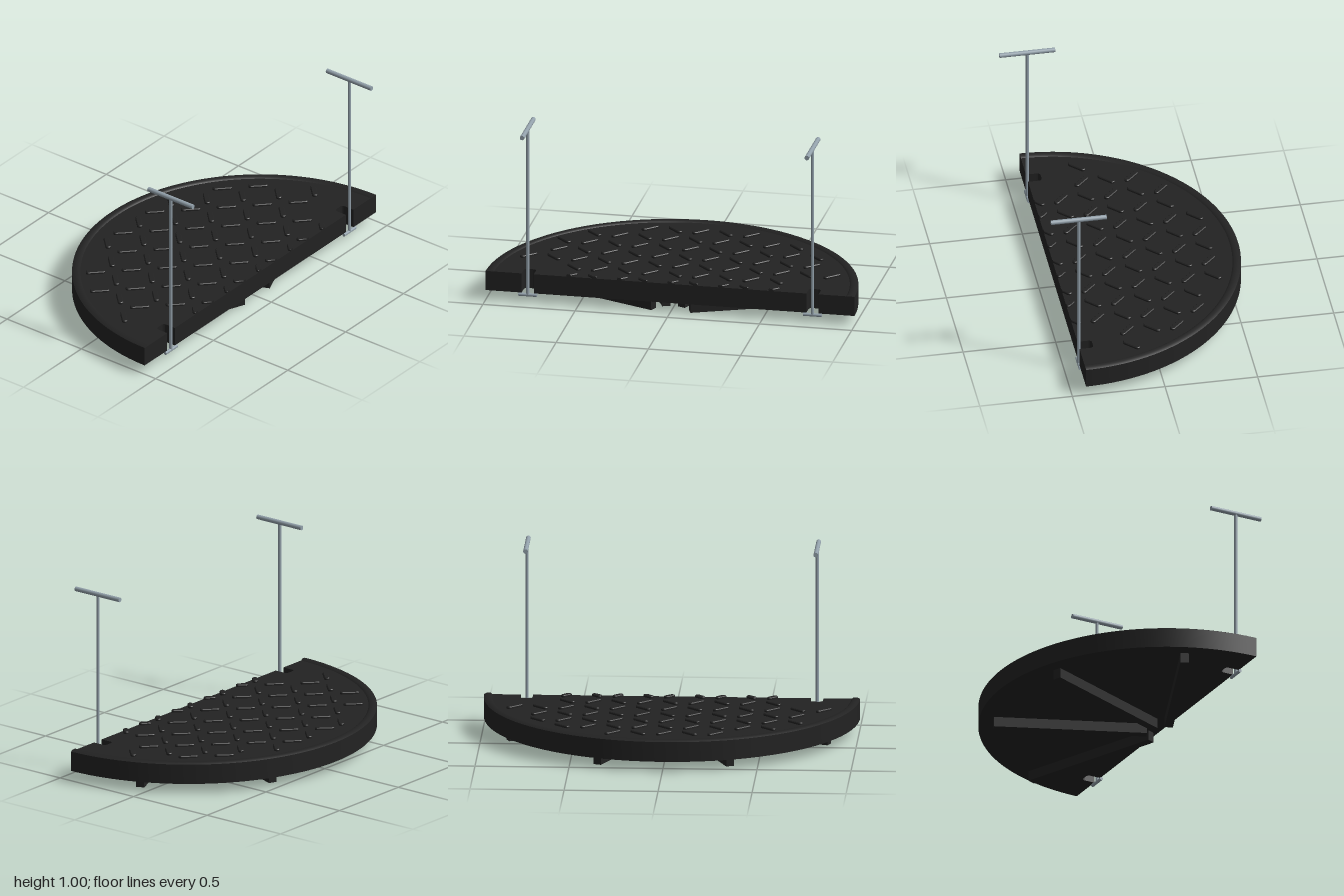
import * as THREE from 'three';
import { toCreasedNormals } from 'three/addons/utils/BufferGeometryUtils.js';

const EDGE = 0.426;   // x of the straight edge
const DECK = 0.163;   // height of the deck surface
const PIN_Z = 0.772;

const rubber = new THREE.MeshStandardMaterial({ name: 'black rubber', color: 0x222222, side: THREE.DoubleSide });
const steel = new THREE.MeshStandardMaterial({ name: 'grey steel', color: 0x93a1ab });

function add(parent, name, geometry, material) {
  const mesh = new THREE.Mesh(geometry, material);
  mesh.name = name;
  parent.add(mesh);
  return mesh;
}

// Half disc with two rounded slots cut into its straight edge
function plateGeometry() {
  const s = new THREE.Shape();
  const w = 0.033, inner = 0.35, r = 0.02;
  s.moveTo(EDGE, -1);
  for (const c of [-PIN_Z, PIN_Z]) {
    s.lineTo(EDGE, c - w);
    s.lineTo(inner + r, c - w);
    s.quadraticCurveTo(inner, c - w, inner, c - w + r);
    s.lineTo(inner, c + w - r);
    s.quadraticCurveTo(inner, c + w, inner + r, c + w);
    s.lineTo(EDGE, c + w);
  }
  s.lineTo(EDGE, 1);
  s.absarc(EDGE, 0, 1, Math.PI / 2, Math.PI * 1.5, false);
  const g = new THREE.ExtrudeGeometry(s, { depth: DECK - 0.055, bevelEnabled: false, curveSegments: 72 });
  g.rotateX(-Math.PI / 2).translate(0, 0.055, 0);
  return toCreasedNormals(g, 0.5);
}

// Round-ended raised bar lying flat
function treadGeometry(from, to) {
  const r = 0.011;
  const s = new THREE.Shape();
  s.absarc(to, 0, r, -Math.PI / 2, Math.PI / 2, false);
  s.absarc(from, 0, r, Math.PI / 2, Math.PI * 1.5, false);
  const g = new THREE.ExtrudeGeometry(s, {
    depth: 0.009, bevelEnabled: true, bevelThickness: 0.004, bevelSize: 0.004, bevelSegments: 1, curveSegments: 6,
  });
  return g.rotateX(-Math.PI / 2);
}

export function createModel() {
  const model = new THREE.Group();
  model.name = 'halfRoundCover';

  add(model, 'plate', plateGeometry(), rubber);

  // Raised rim along the curved edge
  const profile = [[1, DECK], [0.985, 0.171], [0.965, 0.171], [0.955, DECK]].map(p => new THREE.Vector2(...p));
  const rim = add(model, 'rim', new THREE.LatheGeometry(profile, 72, Math.PI, Math.PI), rubber);
  rim.position.x = EDGE;

  // Tread bars, alternating in direction; the last column is cut by the straight edge
  const treads = new THREE.Group();
  treads.name = 'treads';
  model.add(treads);
  const first = [0, 0, 0, 1, 1, 2, 4], last = [6, 6, 6, 6, 6, 4, 4];
  for (let row = -6; row <= 6; row++) {
    const k = Math.abs(row);
    for (let col = first[k]; col <= last[k]; col++) {
      const cut = col === 6;
      const g = treadGeometry(-0.038, cut ? 0 : 0.038);
      g.rotateY((col + k) % 2 ? Math.PI / 4 : -Math.PI / 4);
      g.translate(-0.39 + col * 0.1345, DECK - 0.001, row * 0.137);
      if (cut) {
        const p = g.attributes.position;
        for (let i = 0; i < p.count; i++) p.setX(i, Math.min(p.getX(i), EDGE));
        g.computeVertexNormals();
      }
      add(treads, 'tread', g, rubber);
    }
  }

  // Radial ribs underneath
  const inner = 0.106, outer = 0.925;
  for (const deg of [-67.5, -22.5, 22.5, 67.5]) {
    const g = new THREE.BoxGeometry(outer - inner, 0.057, 0.045);
    g.translate((inner + outer) / 2, 0.0285, 0);
    const rib = add(model, 'rib', g, rubber);
    rib.position.x = EDGE;
    rib.rotation.y = Math.PI + THREE.MathUtils.degToRad(deg);
  }

  // Lifting keys: stem, top handle and short foot bar
  for (const z of [-PIN_Z, PIN_Z]) {
    const key = new THREE.Group();
    key.name = 'liftingKey';
    key.position.set(0.425, 0, z);
    model.add(key);
    const stem = add(key, 'stem', new THREE.CylinderGeometry(0.009, 0.009, 0.935, 20), steel);
    stem.position.y = 0.5125;
    const handle = add(key, 'handle', new THREE.CylinderGeometry(0.0125, 0.0125, 0.3, 20), steel);
    handle.position.y = 0.984;
    handle.rotation.z = Math.PI / 2;
    const foot = add(key, 'footBar', new THREE.CylinderGeometry(0.009, 0.009, 0.1, 20), steel);
    foot.position.y = 0.045;
    foot.rotation.x = Math.PI / 2;
  }
  return model;
}
